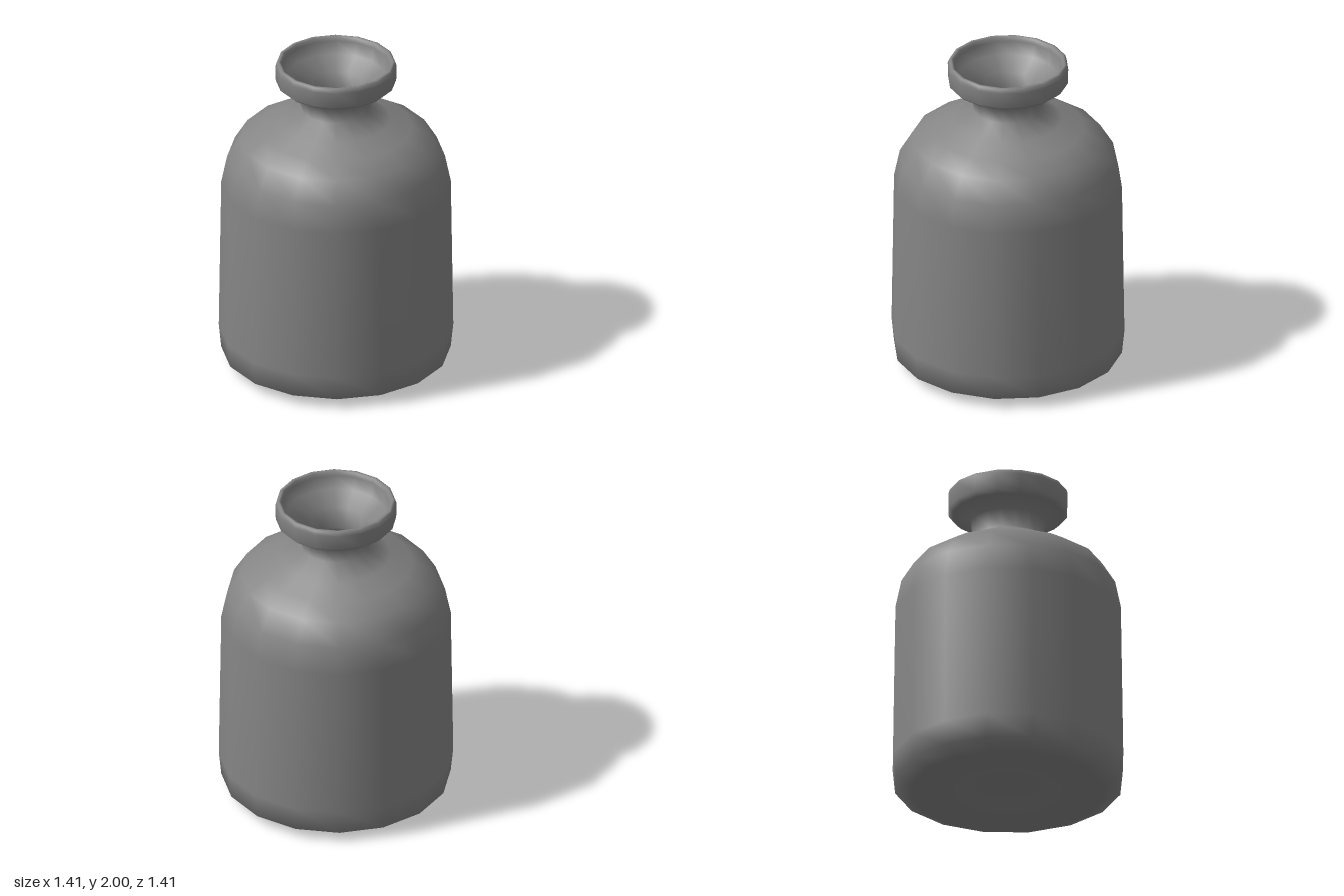
import * as THREE from 'three';

const SIDES = 16;

// Revolve a list of [radius, height] pairs around the y axis
function revolve(name, profile, material) {
  const points = profile.map(([r, y]) => new THREE.Vector2(r, y));
  const mesh = new THREE.Mesh(new THREE.LatheGeometry(points, SIDES), material);
  mesh.name = name;
  return mesh;
}

export function createModel() {
  const group = new THREE.Group();
  group.name = 'bottle';
  const material = new THREE.MeshStandardMaterial({ color: 0x858585 });

  // Dimpled base, body wall, shoulder and neck
  const outside = [
    [0, 0.1], [0.16, 0.088], [0.27, 0.05], [0.39, 0.003], [0.59, 0.025],
    [0.69, 0.07], [0.705, 0.22], [0.69, 1.19],
    [0.655, 1.36], [0.575, 1.49], [0.46, 1.56], [0.33, 1.62],
    [0.21, 1.69], [0.228, 1.8],
  ];

  // Flared collar with a rounded lip
  const lip = [
    [0.335, 1.85], [0.362, 1.875], [0.365, 1.97], [0.357, 1.995],
    [0.345, 2], [0.332, 1.995], [0.325, 1.97], [0.305, 1.89],
  ];

  // Hollow interior, from the neck down to the raised floor
  const inside = [
    [0.205, 1.82], [0.18, 1.69], [0.21, 1.65],
    [0.32, 1.58], [0.44, 1.52], [0.54, 1.45], [0.61, 1.34],
    [0.64, 1.18], [0.655, 0.22], [0.64, 0.11], [0.57, 0.07],
    [0.4, 0.055], [0.28, 0.09], [0.16, 0.125], [0, 0.135],
  ];

  group.add(revolve('bottleShell', [...outside, ...lip, ...inside], material));
  return group;
}
